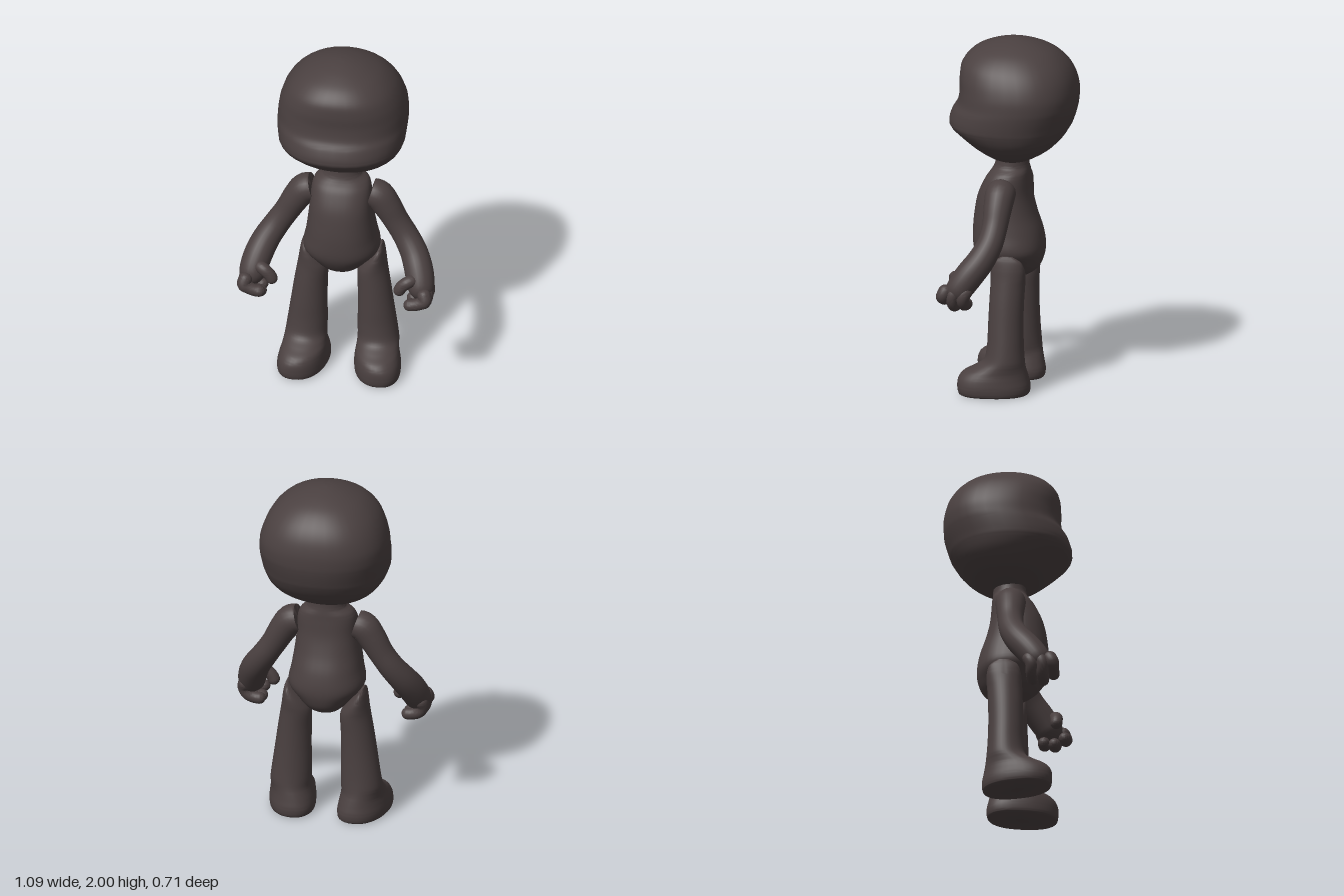
import * as THREE from 'three';
import { toCreasedNormals } from 'three/addons/utils/BufferGeometryUtils.js';

const material = new THREE.MeshStandardMaterial({ color: 0x4a4040 });
const SEG = 36;

// Closed skin over a list of rings; side = -1 mirrors it in x
function skin(name, rings, side) {
  const pos = [], idx = [], n = rings[0].length, last = rings.length - 1;
  const tri = (a, b, c) => (side > 0 ? idx.push(a, b, c) : idx.push(a, c, b));
  for (const ring of rings) for (const p of ring) pos.push(p.x * side, p.y, p.z);
  for (const ring of [rings[0], rings[last]]) {
    const c = ring.reduce((s, p) => s.add(p), new THREE.Vector3()).divideScalar(n);
    pos.push(c.x * side, c.y, c.z);
  }
  const c0 = n * rings.length, c1 = c0 + 1;
  for (let j = 0; j < n; j++) {
    const k = (j + 1) % n;
    for (let i = 0; i < last; i++) {
      const a = i * n + j, b = i * n + k;
      tri(a, a + n, b);
      tri(b, a + n, b + n);
    }
    tri(c0, j, k);
    tri(c1, last * n + k, last * n + j);
  }
  const geo = new THREE.BufferGeometry();
  geo.setAttribute('position', new THREE.Float32BufferAttribute(pos, 3));
  geo.setIndex(idx);
  const mesh = new THREE.Mesh(toCreasedNormals(geo, 1.0), material);
  mesh.name = name;
  return mesh;
}

// Upright loft; sections are [y, xCentre, halfWidth, zFront, zBack, roundness, toeOut]
function loft(name, sections, side = 1) {
  const curve = (f) => new THREE.CatmullRomCurve3(
    sections.map((s) => new THREE.Vector3(...f(s))), false, 'catmullrom', 0.5);
  const a = curve((s) => [s[1], s[0], s[2]]);
  const b = curve((s) => [s[3], s[4], s[5]]);
  const t = curve((s) => [s[6] ?? 0, 0, 0]);
  const steps = (sections.length - 1) * 5, rings = [];
  for (let i = 0; i <= steps; i++) {
    const u = i / steps, p = a.getPoint(u), q = b.getPoint(u), toe = t.getPoint(u).x;
    const mid = (q.x + q.y) / 2, half = (q.x - q.y) / 2;
    const bulge = (v) => Math.sign(v) * Math.abs(v) ** (2 / q.z);
    rings.push(Array.from({ length: SEG }, (_, j) => {
      const ang = (j / SEG) * Math.PI * 2, z = half * bulge(Math.sin(ang));
      return new THREE.Vector3(p.x + p.z * bulge(Math.cos(ang)) + toe * z, p.y, mid + z);
    }));
  }
  return skin(name, rings, side);
}

// Round limb along a path; points are [x, y, z, radius], ends are domed
function limb(name, points, side, domedStart = true) {
  const path = new THREE.CatmullRomCurve3(points.map((p) => new THREE.Vector3(p[0], p[1], p[2])));
  const radius = new THREE.CatmullRomCurve3(points.map((p, i) => new THREE.Vector3(p[3], i, 0)),
    false, 'catmullrom', 0.5);
  const steps = 40, length = path.getLength(), frames = path.computeFrenetFrames(400);
  const rings = [];
  for (let i = 0; i <= steps; i++) {
    const f = Math.round((1 - Math.cos((Math.PI * i) / steps)) * 200), u = f / 400;
    const centre = path.getPointAt(u);
    let r = radius.getPoint(path.getUtoTmapping(u)).x;
    const d = Math.min(domedStart ? u * length : Infinity, (1 - u) * length);
    if (d < r) r *= Math.max(0.02, Math.sqrt(1 - (1 - d / r) ** 2));
    rings.push(Array.from({ length: 24 }, (_, j) => {
      const ang = (j / 24) * Math.PI * 2;
      return centre.clone()
        .addScaledVector(frames.normals[f], Math.cos(ang) * r)
        .addScaledVector(frames.binormals[f], -Math.sin(ang) * r);
    }));
  }
  return skin(name, rings, side);
}

export function createModel() {
  const model = new THREE.Group();
  model.name = 'figure';

  // Big rounded head with a hollow at eye level
  model.add(loft('head', [
    [1.298, 0, 0.03, 0.03, -0.03, 2],
    [1.303, 0, 0.09, 0.06, -0.07, 2],
    [1.33, 0, 0.18, 0.12, -0.13, 2.1],
    [1.38, 0, 0.26, 0.2, -0.21, 2.15],
    [1.44, 0, 0.315, 0.275, -0.27, 2.2],
    [1.5, 0, 0.345, 0.345, -0.31, 2.2],
    [1.54, 0, 0.354, 0.357, -0.327, 2.2],
    [1.6, 0, 0.36, 0.337, -0.345, 2.25],
    [1.65, 0, 0.36, 0.307, -0.353, 2.3],
    [1.72, 0, 0.353, 0.295, -0.352, 2.35],
    [1.8, 0, 0.327, 0.296, -0.333, 2.35],
    [1.87, 0, 0.285, 0.283, -0.293, 2.3],
    [1.93, 0, 0.22, 0.23, -0.23, 2.2],
    [1.97, 0, 0.14, 0.15, -0.15, 2.1],
    [1.992, 0, 0.065, 0.07, -0.07, 2],
    [2.0, 0, 0.005, 0.005, -0.005, 2],
  ]));

  // Torso with neck and rounded seat
  model.add(loft('torso', [
    [0.64, 0, 0.05, 0.05, -0.05, 2],
    [0.645, 0, 0.075, 0.085, -0.08, 2.1],
    [0.68, 0, 0.115, 0.145, -0.13, 2.2],
    [0.73, 0, 0.16, 0.19, -0.158, 2.2],
    [0.8, 0, 0.212, 0.222, -0.17, 2.25],
    [0.9, 0, 0.197, 0.228, -0.155, 2.3],
    [1.0, 0, 0.183, 0.22, -0.122, 2.3],
    [1.1, 0, 0.172, 0.2, -0.097, 2.4],
    [1.19, 0, 0.165, 0.16, -0.088, 2.4],
    [1.235, 0, 0.148, 0.13, -0.085, 2.3],
    [1.265, 0, 0.112, 0.113, -0.082, 2.1],
    [1.29, 0, 0.104, 0.105, -0.08, 2],
    [1.33, 0, 0.1, 0.1, -0.08, 2],
  ]));

  for (const side of [1, -1]) {
    const prefix = side > 0 ? 'left' : 'right';

    // Leg with slanted hip top and toed-out foot
    model.add(loft(prefix + 'Leg', [
      [0, 0.205, 0.115, 0.245, -0.115, 2.3, 0.16],
      [0.012, 0.205, 0.128, 0.258, -0.126, 2.3, 0.16],
      [0.05, 0.206, 0.132, 0.264, -0.13, 2.3, 0.16],
      [0.095, 0.206, 0.128, 0.26, -0.122, 2.2, 0.14],
      [0.13, 0.204, 0.122, 0.235, -0.115, 2.1, 0.1],
      [0.16, 0.203, 0.118, 0.18, -0.109, 2, 0.06],
      [0.2, 0.201, 0.115, 0.123, -0.104, 2, 0.02],
      [0.28, 0.195, 0.11, 0.106, -0.098, 2, 0],
      [0.4, 0.187, 0.101, 0.102, -0.094, 2, 0],
      [0.52, 0.178, 0.093, 0.098, -0.095, 2, 0],
      [0.62, 0.169, 0.086, 0.094, -0.1, 2, 0],
      [0.67, 0.175, 0.072, 0.092, -0.104, 2, 0],
      [0.72, 0.19, 0.05, 0.087, -0.102, 2, 0],
      [0.765, 0.206, 0.025, 0.07, -0.085, 2, 0],
      [0.795, 0.215, 0.005, 0.02, -0.04, 2, 0],
    ], side));

    // Arm, flat at the shoulder joint, ending in the palm
    const arm = new THREE.Group();
    arm.name = prefix + 'Arm';
    arm.add(limb('sleeve', [
      [0.163, 1.155, 0.032, 0.08],
      [0.205, 1.142, 0.032, 0.084],
      [0.25, 1.085, 0.034, 0.079],
      [0.305, 0.99, 0.038, 0.071],
      [0.36, 0.905, 0.052, 0.072],
      [0.415, 0.82, 0.092, 0.077],
      [0.452, 0.74, 0.15, 0.08],
      [0.472, 0.665, 0.2, 0.075],
      [0.478, 0.6, 0.23, 0.06],
    ], side, false));

    // Thumb and three curled fingers
    arm.add(limb('thumb', [
      [0.45, 0.72, 0.205, 0.036],
      [0.405, 0.715, 0.238, 0.035],
      [0.37, 0.685, 0.244, 0.034],
      [0.345, 0.632, 0.242, 0.033],
    ], side));
    for (const [z, tipY] of [[0.285, 0.565], [0.228, 0.532], [0.17, 0.54]]) {
      arm.add(limb('finger', [
        [0.488, 0.69, z - 0.03, 0.04],
        [0.508, 0.63, z, 0.037],
        [0.485, tipY + 0.05, z, 0.035],
        [0.44, tipY + 0.034, z, 0.034],
        [0.388, tipY + 0.034, z, 0.033],
      ], side));
    }
    model.add(arm);
  }
  return model;
}
